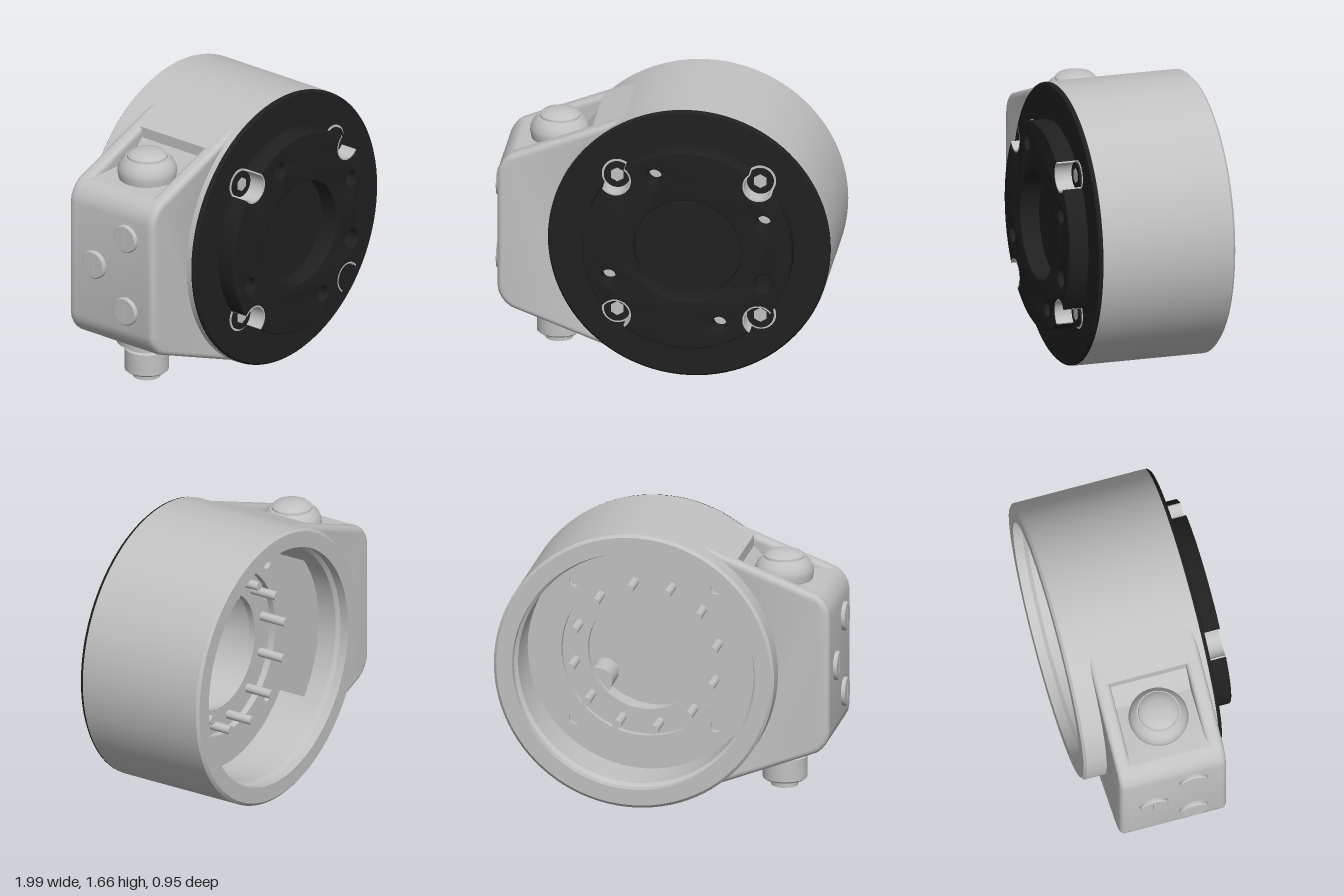
import * as THREE from 'three';
import { toCreasedNormals } from 'three/addons/utils/BufferGeometryUtils.js';

const CX = 0.16, CY = 0.835; // axis of the round housing

export function createModel() {
  const root = new THREE.Group();
  const grey = new THREE.MeshStandardMaterial({ color: 0xc2c2c2 });
  grey.name = 'light grey metal';
  const black = new THREE.MeshStandardMaterial({ color: 0x202020 });
  black.name = 'black metal';

  const add = (name, geo, mat, x = 0, y = 0, z = 0, parent = root) => {
    const m = new THREE.Mesh(toCreasedNormals(geo, 0.5), mat);
    m.name = name;
    m.position.set(x, y, z);
    parent.add(m);
    return m;
  };
  const lathe = (pts, seg = 96) =>
    new THREE.LatheGeometry(pts.map(p => new THREE.Vector2(p[0], p[1])), seg);
  const latheZ = (pts, seg) => lathe(pts, seg).rotateX(Math.PI / 2);
  const cylZ = (r, z0, z1, seg = 24) =>
    new THREE.CylinderGeometry(r, r, z1 - z0, seg).rotateX(Math.PI / 2).translate(0, 0, (z0 + z1) / 2);
  const circle = (x, y, r) => new THREE.Path().absarc(x, y, r, 0, Math.PI * 2, true);
  const extrude = (shape, z0, z1, bevel = 0) => new THREE.ExtrudeGeometry(shape, {
    depth: z1 - z0 - 2 * bevel, curveSegments: 48, bevelEnabled: bevel > 0,
    bevelSize: bevel, bevelThickness: bevel, bevelOffset: -bevel, bevelSegments: 4,
  }).translate(0, 0, z0 + bevel);

  // Round housing, open at the back, with a stepped cavity
  add('housing', latheZ([
    [0, 0.25], [0.42, 0.25], [0.42, -0.03], [0.35, -0.03], [0.35, -0.07], [0.5, -0.07],
    [0.5, -0.08], [0.7, -0.08], [0.7, -0.4], [0.72, -0.42], [0.72, -0.475], [0.815, -0.475],
    [0.832, -0.46], [0.832, 0.337], [0, 0.337],
  ]), grey, CX, CY);

  // Inner shelf with four through holes
  const shelf = new THREE.Shape().absarc(0, 0, 0.71, 0, Math.PI * 2);
  shelf.holes.push(circle(0, 0, 0.5));
  for (const sx of [-1, 1]) for (const sy of [-1, 1])
    shelf.holes.push(circle(sx * 0.42, sy * 0.42, 0.035));
  add('innerShelf', extrude(shelf, -0.11, -0.079), grey, CX, CY);

  // Straight ledge on the block side of the cavity
  const ledge = new THREE.Shape().absarc(0, 0, 0.73, Math.PI - 0.717, Math.PI + 0.717);
  ledge.closePath();
  add('innerLedge', extrude(ledge, -0.28, -0.1), grey, CX, CY);

  // Ring of pins and a boss inside the cavity
  for (let i = 0; i < 12; i++) {
    const a = (20 + i * 30) * Math.PI / 180;
    add('pin', cylZ(0.027, -0.24, -0.06, 16), grey, CX + 0.43 * Math.cos(a), CY + 0.43 * Math.sin(a));
  }
  add('innerBoss', cylZ(0.08, 0.05, 0.26), grey, 0.47, 0.6);

  // Tapered side block: three slabs, the middle one notched for the pockets
  const blockOutline = notched => {
    const t = 111 * Math.PI / 180;
    const onLine = x => 0.77 + 0.382 * (x + 0.136);
    const half = [[0.825 * Math.cos(t) + CX, 0.825 * Math.sin(t)]];
    if (notched) half.push([-0.42, onLine(-0.42)], [-0.42, 0.485], [-0.875, 0.485]);
    half.push([-0.895, onLine(-0.895)], [-0.927, 0.455], [-0.95, 0.425], [-0.968, 0.39], [-0.975, 0.35]);
    const s = new THREE.Shape();
    half.forEach(([x, y], i) => (i ? s.lineTo(x, CY + y) : s.moveTo(x, CY + y)));
    half.reverse().forEach(([x, y]) => s.lineTo(x, CY - y));
    for (let i = 0; i <= 32; i++) { // inner edge follows the housing wall
      const a = -t - (2 * Math.PI - 2 * t) * i / 32;
      s.lineTo(CX + 0.765 * Math.cos(a), CY + 0.765 * Math.sin(a));
    }
    return s;
  };
  add('blockRear', extrude(blockOutline(false), -0.34, -0.25, 0.03), grey);
  add('blockMiddle', extrude(blockOutline(true), -0.285, 0.245), grey);
  add('blockFront', extrude(blockOutline(false), 0.21, 0.303, 0.03), grey);

  // Domed cap in the upper pocket
  add('domeCap', lathe([
    [0.165, 1.31], [0.175, 1.36], [0.172, 1.385], [0.158, 1.42], [0.128, 1.45], [0.12, 1.45],
    [0.118, 1.462], [0.1, 1.478], [0.06, 1.491], [0, 1.495],
  ], 48), grey, -0.645, 0, -0.02);

  // Cable connector under the lower pocket
  const connector = new THREE.Group();
  connector.name = 'connector';
  connector.position.set(-0.65, 0, -0.02);
  root.add(connector);
  add('connectorBody', lathe([
    [0, 0.1], [0.118, 0.1], [0.13, 0.11], [0.13, 0.24], [0.118, 0.25], [0.118, 0.285],
    [0.175, 0.285], [0.175, 0.37],
  ], 40), grey, 0, 0, 0, connector);
  add('connectorInsert', new THREE.CylinderGeometry(0.08, 0.08, 0.04, 32), grey, 0, 0.082, 0, connector);
  for (const [n, r] of [[1, 0], [6, 0.03], [12, 0.06]])
    for (let i = 0; i < n; i++) {
      const a = i / n * Math.PI * 2;
      add('contact', new THREE.CylinderGeometry(0.008, 0.008, 0.006, 10), black,
        r * Math.cos(a), 0.061, r * Math.sin(a), connector);
    }

  // Screw plugs on the block's end face
  for (const [y, z] of [[1.07, 0.1], [0.84, -0.14], [0.61, 0.1]]) {
    add('sidePlug', lathe([[0.086, -0.03], [0.086, 0.018], [0.078, 0.026], [0, 0.026]], 32)
      .rotateZ(Math.PI / 2), grey, -0.972, y, z);
    add('plugSlot', new THREE.BoxGeometry(0.006, 0.1, 0.014), grey, -0.998, y, z);
  }

  // Black front plate
  add('frontPlate', latheZ([[0, 0.33], [0.83, 0.33], [0.83, 0.348], [0.818, 0.36], [0, 0.36]]), black, CX, CY);

  // Mounting flange: a disc with four round bites and plain holes
  const R = 0.615, r = 0.09, d = 0.594;
  const phi = Math.acos((R * R + d * d - r * r) / (2 * R * d));
  const b = Math.atan2(R * Math.sin(phi), R * Math.cos(phi) - d);
  const bite = (a, rad) => Array.from({ length: 25 }, (_, i) => {
    const t = a - b - (2 * Math.PI - 2 * b) * i / 24;
    return new THREE.Vector2(d * Math.cos(a) + rad * Math.cos(t), d * Math.sin(a) + rad * Math.sin(t));
  });
  const corners = [0, 1, 2, 3].map(i => Math.PI / 4 + i * Math.PI / 2);
  const outline = [];
  for (const a of corners) {
    outline.push(...bite(a, r));
    for (let i = 1; i < 24; i++) {
      const t = a + phi + (Math.PI / 2 - 2 * phi) * i / 24;
      outline.push(new THREE.Vector2(R * Math.cos(t), R * Math.sin(t)));
    }
  }
  const flange = new THREE.Shape(outline);
  const dowels = [[-0.03, 1.29], [0.61, 1.03], [-0.3, 0.65], [0.35, 0.385]];
  flange.holes.push(circle(0, 0, 0.315), circle(0.61 - CX, 0.65 - CY, 0.055));
  for (const [x, y] of dowels) flange.holes.push(circle(x - CX, y - CY, 0.044));
  add('flange', extrude(flange, 0.34, 0.475, 0.008), black, CX, CY);
  for (const [x, y] of dowels) add('dowelHoleFloor', cylZ(0.047, 0.355, 0.364), grey, x, y);

  // Bright counterbores with socket-head screws
  for (const a of corners) {
    const x = CX + d * Math.cos(a), y = CY + d * Math.sin(a);
    const wall = new THREE.Shape([...bite(a, 0.093), ...bite(a, 0.084).reverse()]);
    add('counterboreWall', extrude(wall, 0.35, 0.474), grey, CX, CY);
    add('counterboreFloor', cylZ(0.092, 0.355, 0.364, 32), grey, x, y);
    add('screwHead', cylZ(0.079, 0.355, 0.374, 32), black, x, y);
    add('hexSocket', cylZ(0.043, 0.37, 0.377, 6), grey, x, y);
  }
  return root;
}
